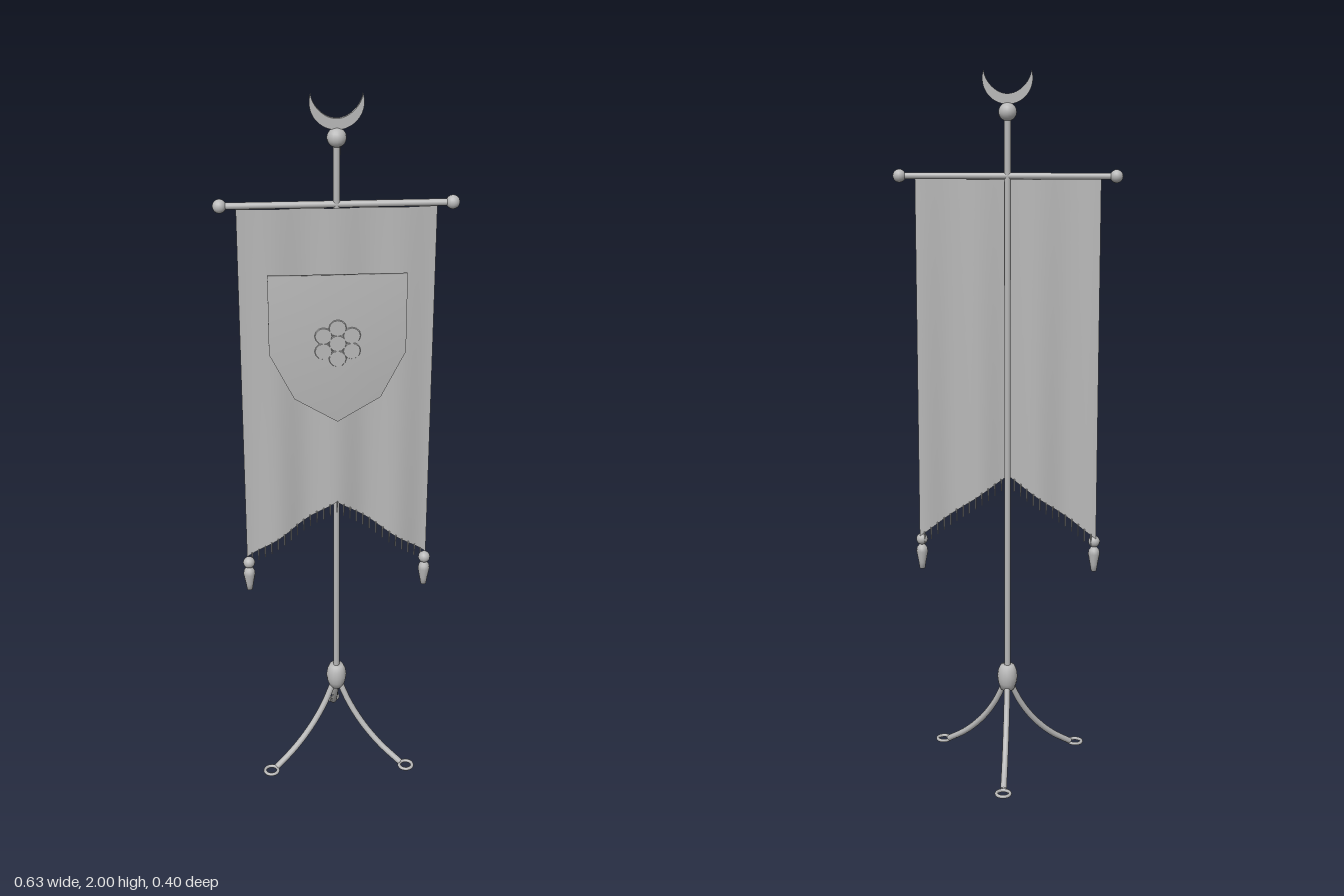
import * as THREE from 'three';

const Z = 0.057; // depth of the pole and crossbar

export function createModel() {
  const root = new THREE.Group();
  root.name = 'bannerStand';
  const grey = new THREE.MeshStandardMaterial({ color: 0xb8b8b8 });
  grey.name = 'grey';
  const greyCloth = grey; // single colour for the whole stand
  greyCloth.side = THREE.DoubleSide;

  const add = (name, geo, x = 0, y = 0, z = 0, parent = root) => {
    const m = new THREE.Mesh(geo, grey);
    m.name = name;
    m.position.set(x, y, z);
    parent.add(m);
    return m;
  };
  const lathe = (pts, sides = 16) =>
    new THREE.LatheGeometry(pts.map(p => new THREE.Vector2(p[0], p[1])), sides);

  // Pole, top knob and hub
  add('pole', new THREE.CylinderGeometry(0.009, 0.009, 1.64, 12), 0, 1.06, Z);
  add('topKnob', new THREE.SphereGeometry(0.025, 16, 12), 0, 1.89, Z);
  add('hub', lathe([[0, 0.222], [0.02, 0.225], [0.027, 0.245], [0.03, 0.265],
    [0.027, 0.285], [0.02, 0.3], [0, 0.302]]), 0, 0, Z);

  // Crescent finial: outer arc, then inner arc back
  const crescent = new THREE.Shape();
  const tip = 0.33, R = 0.068, tx = R * Math.cos(tip), ty = R * Math.sin(tip);
  crescent.absarc(0, 0, R, Math.PI - tip, Math.PI * 2 + tip, false);
  const cy = 0.018, r = Math.hypot(tx, ty - cy), a = Math.atan2(ty - cy, tx);
  const inner = new THREE.Path();
  // inner circle is lifted and squashed so the horns end in points
  for (let i = 1; i < 24; i++) {
    const t = a + (-Math.PI - 2 * a) * i / 24;
    crescent.lineTo(r * Math.cos(t) * (1 - 0.15 * Math.sin(Math.PI * i / 24)),
      cy + r * Math.sin(t) * 0.9);
  }
  add('crescent', new THREE.ExtrudeGeometry(crescent,
    { depth: 0.01, bevelEnabled: false, curveSegments: 28 }), 0, 1.978, Z - 0.005);

  // Crossbar with end balls
  add('crossbar', new THREE.CylinderGeometry(0.009, 0.009, 0.59, 12), 0, 1.72, Z).rotation.z = Math.PI / 2;
  for (const s of [-1, 1]) add('crossbarBall', new THREE.SphereGeometry(0.018, 16, 12), s * 0.296, 1.72, Z);

  // Waved cloth with a notched hem
  const hemY = x => 0.87 - 0.18 * Math.abs(x) / 0.255;
  const clothZ = (x, t) => 0.073 + (0.003 + 0.006 * t) * Math.cos(x * Math.PI * 2 / 0.165);
  const cloth = new THREE.PlaneGeometry(0.51, 1, 48, 16);
  const p = cloth.attributes.position;
  for (let i = 0; i < p.count; i++) {
    const x = p.getX(i), t = 0.5 - p.getY(i);
    p.setXYZ(i, x, THREE.MathUtils.lerp(1.715, hemY(x), t), clothZ(x, t));
  }
  cloth.computeVertexNormals();
  add('cloth', cloth);

  // Fringe along the hem
  const fringe = new THREE.Group();
  fringe.name = 'fringe';
  root.add(fringe);
  const strand = new THREE.CylinderGeometry(0.0025, 0.002, 0.036, 6);
  for (let i = 0; i <= 26; i++) {
    const x = -0.24 + 0.48 * i / 26;
    add('fringeStrand', strand, x, hemY(x) - 0.014, clothZ(x, 1), fringe);
  }

  // Corner tassels
  const tassel = lathe([[0, 0], [0.008, 0], [0.011, 0.02], [0.017, 0.052], [0.015, 0.064], [0.007, 0.074], [0, 0.076]], 12);
  for (const s of [-1, 1]) {
    add('tassel', tassel, s * 0.25, 0.59, 0.076);
    add('tasselBall', new THREE.SphereGeometry(0.017, 14, 10), s * 0.25, 0.679, 0.076);
  }

  // Shield: a softly shaded plate fanned from its centre
  const rim = [[-0.18, 1.545], [-0.18, 1.33], [-0.115, 1.2], [0, 1.13], [0.115, 1.2], [0.18, 1.33], [0.18, 1.545]];
  const n = rim.length, pos = [], idx = [];
  for (const z of [0.103, 0.091]) {
    for (const [x, y] of rim) pos.push(x, y, z);
    pos.push(0, 1.36, z);
  }
  for (let i = 0; i < n; i++) {
    const j = (i + 1) % n, b = n + 1;
    idx.push(n, i, j, b + n, b + j, b + i, i, b + i, j, j, b + i, b + j);
  }
  const shield = new THREE.BufferGeometry();
  shield.setAttribute('position', new THREE.Float32BufferAttribute(pos, 3));
  shield.setIndex(idx);
  shield.computeVertexNormals();
  add('shield', shield);

  // Rosette on the shield
  const petal = new THREE.CylinderGeometry(0.022, 0.024, 0.004, 12).rotateX(Math.PI / 2);
  add('rosetteCentre', petal, 0, 1.358, 0.104);
  for (let i = 0; i < 6; i++) {
    const t = Math.PI / 2 + i * Math.PI / 3;
    add('rosettePetal', petal, 0.043 * Math.cos(t), 1.358 + 0.043 * Math.sin(t), 0.104);
  }

  // Three flared legs with ring feet
  const path = new THREE.CatmullRomCurve3([[0.008, 0.245], [0.045, 0.172], [0.092, 0.108], [0.15, 0.053], [0.214, 0.01]]
    .map(q => new THREE.Vector3(0, q[1], -q[0])));
  const legGeo = new THREE.TubeGeometry(path, 20, 0.009, 8);
  const footGeo = new THREE.TorusGeometry(0.0195, 0.005, 8, 20).rotateX(Math.PI / 2);
  for (let i = 0; i < 3; i++) {
    const leg = new THREE.Group();
    leg.name = 'leg';
    leg.position.z = Z;
    leg.rotation.y = i * Math.PI * 2 / 3;
    add('legTube', legGeo, 0, 0, 0, leg);
    add('ringFoot', footGeo, 0, 0.005, -0.233, leg);
    root.add(leg);
  }
  return root;
}
